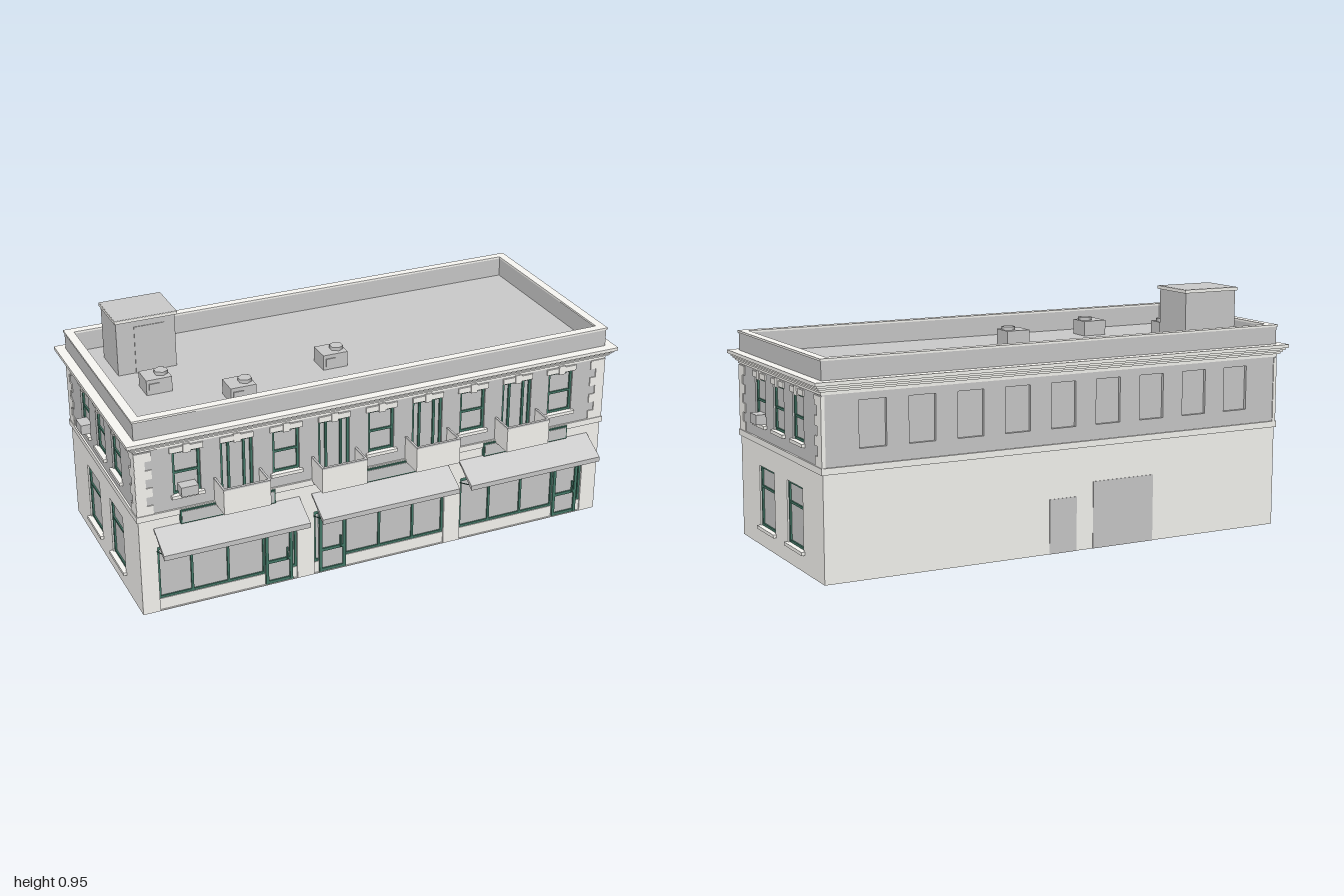
import * as THREE from 'three';

const GREY = new THREE.MeshStandardMaterial({ color: 0xcccccc });
const STONE = new THREE.MeshStandardMaterial({ color: 0xfaf9f5 });
const GREEN = new THREE.MeshStandardMaterial({ color: 0x457a69 });

// Building footprint
const HX = 0.962, ZF = 0.383, ZB = -0.45, ZC = (ZF + ZB) / 2, HZ = (ZF - ZB) / 2;
const T = 0.02; // wall thickness
const PITCH = 0.1925; // spacing of upper windows

function add(parent, name, geo, mat) {
  const m = new THREE.Mesh(geo, mat);
  m.name = name;
  parent.add(m);
  return m;
}

function group(parent, name, x = 0, y = 0, z = 0) {
  const g = new THREE.Group();
  g.name = name;
  g.position.set(x, y, z);
  parent.add(g);
  return g;
}

// Box given by its limits
function box(parent, name, mat, x0, x1, y0, y1, z0, z1) {
  const geo = new THREE.BoxGeometry(x1 - x0, y1 - y0, z1 - z0);
  geo.translate((x0 + x1) / 2, (y0 + y1) / 2, (z0 + z1) / 2);
  return add(parent, name, geo, mat);
}

function rect(Type, x0, x1, y0, y1) {
  return new Type([[x0, y0], [x1, y0], [x1, y1], [x0, y1]].map(p => new THREE.Vector2(...p)));
}

// Wall slab with rectangular openings [x, width, y0, y1]; outer face on z = 0
function wall(parent, name, mat, half, y0, y1, holes) {
  const s = rect(THREE.Shape, -half, half, y0, y1);
  for (const [x, w, a, b] of holes) s.holes.push(rect(THREE.Path, x - w / 2, x + w / 2, a, b));
  const geo = new THREE.ExtrudeGeometry(s, { depth: T, bevelEnabled: false });
  add(parent, name, geo.translate(0, 0, -T), mat);
}

// Rectangular band around the building
function band(parent, name, mat, over, inset, y0, y1) {
  const s = rect(THREE.Shape, -HX - over, HX + over, -HZ - over, HZ + over);
  s.holes.push(rect(THREE.Path, -HX + inset, HX - inset, -HZ + inset, HZ - inset));
  const geo = new THREE.ExtrudeGeometry(s, { depth: y1 - y0, bevelEnabled: false });
  geo.rotateX(-Math.PI / 2).translate(0, y0, ZC);
  add(parent, name, geo, mat);
}

// Pane with green surround, rails (heights) and mullions (offsets)
function glazing(parent, name, x, w, y0, y1, rails = [], mullions = [], z = -0.006, t = 0.009) {
  const g = group(parent, name, x), h = w / 2;
  box(g, 'pane', GREY, -h, h, y0, y1, z - 0.012, z - 0.007);
  for (const c of [-h + t / 2, h - t / 2, ...mullions])
    box(g, 'stile', GREEN, c - t / 2, c + t / 2, y0, y1, z - 0.008, z);
  for (const c of [y0 + t / 2, y1 - t / 2, ...rails])
    box(g, 'rail', GREEN, -h, h, c - t / 2, c + t / 2, z - 0.008, z - 0.001);
}

function lintel(parent, x) {
  box(parent, 'lintel', STONE, x - 0.064, x + 0.064, 0.65, 0.672, -0.005, 0.006);
  box(parent, 'keystone', STONE, x - 0.0135, x + 0.0135, 0.645, 0.68, -0.005, 0.01);
}

function sill(parent, x, w, y) {
  box(parent, 'sill', STONE, x - w / 2, x + w / 2, y - 0.013, y, -0.01, 0.013);
}

function upperWindow(parent, x) {
  glazing(parent, 'sashWindow', x, 0.105, 0.478, 0.65, [0.564]);
  lintel(parent, x);
  sill(parent, x, 0.126, 0.478);
}

function airConditioner(parent, x) {
  box(parent, 'airConditioner', GREY, x - 0.033, x + 0.033, 0.479, 0.517, -0.015, 0.031);
}

// Alternating corner stones; dir points away from the corner
function quoins(parent, cornerX, dir) {
  for (let i = 0; i < 7; i++) {
    const len = i % 2 ? 0.036 : 0.06, y = 0.42 + i * 0.0362;
    const a = cornerX - dir * 0.003, b = cornerX + dir * len;
    box(parent, 'quoin', STONE, Math.min(a, b), Math.max(a, b), y, y + 0.0362, -0.01, 0.004);
  }
}

function balcony(parent, x) {
  const g = group(parent, 'balcony', x), h = 0.091, d = 0.1;
  box(g, 'balconyFloor', STONE, -h, h, 0.41, 0.42, 0, d);
  box(g, 'balconyFront', STONE, -h, h, 0.41, 0.508, d - 0.008, d);
  for (const s of [-1, 1]) {
    const e = s * (h - 0.003);
    box(g, 'balconySide', STONE, e - 0.003, e + 0.003, 0.41, 0.508, 0, d - 0.008);
    box(g, 'sideRail', GREY, e - 0.004, e + 0.004, 0.508, 0.514, 0, d);
  }
  box(g, 'frontRail', GREY, -h, h, 0.508, 0.514, d - 0.01, d + 0.001);
}

function shopFront(parent, x, doorX) {
  const g = group(parent, 'shopFront', x);
  glazing(g, 'shopWindow', 0, 0.55, 0.05, 0.275, [0.262], [-0.1425, 0, 0.1425], -0.008);
  box(g, 'stallRiser', STONE, -0.275, 0.275, 0, 0.05, -T, -0.006);
  glazing(g, 'shopDoor', doorX, 0.11, 0.006, 0.272, [0.1, 0.235], [], 0.003, 0.012);
  box(g, 'doorHandle', GREEN, doorX + 0.03, doorX + 0.036, 0.1, 0.15, 0, 0.008);
  // Sloping awning with thin support arms
  const s = new THREE.Shape([[0, 0.357], [0, 0.351], [0.107, 0.28], [0.107, 0.3]].map(p => new THREE.Vector2(...p)));
  const geo = new THREE.ExtrudeGeometry(s, { depth: 0.57, bevelEnabled: false });
  add(g, 'awning', geo.rotateY(-Math.PI / 2).translate(0.285, 0, 0), GREY);
  for (const e of [-0.277, 0.277]) {
    const path = new THREE.LineCurve3(new THREE.Vector3(e, 0.258, 0), new THREE.Vector3(e, 0.295, 0.095));
    add(g, 'awningArm', new THREE.TubeGeometry(path, 1, 0.002, 6), GREEN);
  }
  // Blank sign board
  box(g, 'signFrame', GREEN, -0.185, 0.185, 0.36, 0.415, 0, 0.014);
  box(g, 'signBoard', GREY, -0.18, 0.18, 0.365, 0.41, 0.01, 0.016);
}

function roofUnit(parent, x, z) {
  const g = group(parent, 'roofUnit', x, 0.72, z);
  box(g, 'unitCase', GREY, -0.05, 0.05, 0, 0.06, -0.045, 0.045);
  add(g, 'unitFan', new THREE.CylinderGeometry(0.027, 0.027, 0.015, 6).translate(0.022, 0.066, 0), GREY);
  box(g, 'unitPanel', GREY, -0.04, 0, 0.012, 0.045, 0.04, 0.049);
}

export function createModel() {
  const model = new THREE.Group();
  model.name = 'shopBuilding';
  const nine = [...Array(9).keys()].map(i => (i - 4) * PITCH);
  const windowHole = x => [x, 0.105, 0.478, 0.65];

  // Street side
  const front = group(model, 'frontSide', 0, 0, ZF);
  const bays = [[-0.62, 0.2], [0, -0.2], [0.62, 0.2]];
  wall(front, 'frontUpperWall', GREY, HX - 0.001, 0.41, 0.7,
    nine.map((x, i) => i % 2 ? [x, 0.125, 0.425, 0.65] : windowHole(x)));
  // Lower wall has a hair of masonry under each bay
  wall(front, 'frontLowerWall', STONE, HX - 0.001, 0, 0.41, bays.map(([x]) => [x, 0.55, 0.003, 0.275]));
  nine.forEach((x, i) => {
    if (i % 2) {
      glazing(front, 'balconyDoor', x, 0.125, 0.425, 0.65, [], [-0.03, 0.03]);
      lintel(front, x);
      balcony(front, x);
    } else upperWindow(front, x);
  });
  bays.forEach(([x, d]) => shopFront(front, x, d));
  airConditioner(front, nine[0]);
  quoins(front, -HX, 1);
  quoins(front, HX, -1);

  // Rear side
  const back = group(model, 'backSide', 0, 0, ZB);
  back.rotation.y = Math.PI;
  wall(back, 'backUpperWall', GREY, HX - 0.001, 0.41, 0.7, nine.map(windowHole));
  wall(back, 'backLowerWall', STONE, HX - 0.001, 0, 0.41, []);
  for (const x of nine) box(back, 'backWindow', GREY, x - 0.053, x + 0.053, 0.478, 0.65, -T, -0.012);
  box(back, 'backDoor', GREY, -0.058, 0.058, 0, 0.21, -0.01, 0.002);
  box(back, 'loadingDoor', GREY, 0.13, 0.396, 0, 0.26, -0.01, 0.002);

  // Two matching end walls
  for (const s of [-1, 1]) {
    const side = group(model, s > 0 ? 'leftSide' : 'rightSide', s * HX, 0, ZC);
    side.rotation.y = s * Math.PI / 2;
    const upper = [-PITCH, 0, PITCH], lower = [-0.143, 0.143];
    wall(side, 'sideUpperWall', GREY, HZ, 0.41, 0.7, upper.map(windowHole));
    wall(side, 'sideLowerWall', STONE, HZ, 0, 0.41, lower.map(x => [x, 0.155, 0.078, 0.312]));
    for (const x of upper) upperWindow(side, x);
    for (const x of lower) {
      glazing(side, 'groundWindow', x, 0.155, 0.078, 0.312, [0.232]);
      sill(side, x, 0.175, 0.078);
    }
    airConditioner(side, -PITCH);
    quoins(side, -HZ, 1);
    quoins(side, HZ, -1);
  }

  // Bands, stepped cornice and parapet
  band(model, 'floorBand', STONE, 0.007, 0.01, 0.396, 0.42);
  [[0.004, 0.678, 0.69], [0.014, 0.69, 0.698], [0.02, 0.698, 0.706], [0.027, 0.706, 0.715], [0.037, 0.715, 0.728]]
    .forEach(([o, a, b]) => band(model, 'cornice', STONE, o, 0.01, a, b));
  band(model, 'parapet', GREY, 0, 0.027, 0.7, 0.797);
  band(model, 'parapetCap', STONE, 0.004, 0.03, 0.797, 0.805);
  box(model, 'roof', GREY, -HX + 0.01, HX - 0.01, 0.712, 0.72, ZB + 0.01, ZF - 0.01);

  // Stair hut and roof equipment
  const hut = group(model, 'stairHut');
  box(hut, 'hutWalls', GREY, -0.845, -0.613, 0.72, 0.936, -0.331, -0.148);
  box(hut, 'hutCap', STONE, -0.851, -0.605, 0.935, 0.947, -0.338, -0.14);
  box(hut, 'hutRoof', GREY, -0.849, -0.607, 0.94, 0.948, -0.336, -0.142);
  box(hut, 'hutDoor', GREY, -0.775, -0.655, 0.72, 0.91, -0.15, -0.145);
  [[-0.75, 0.007], [-0.49, 0.195], [-0.07, 0.077]].forEach(([x, z]) => roofUnit(model, x, z));

  return model;
}
